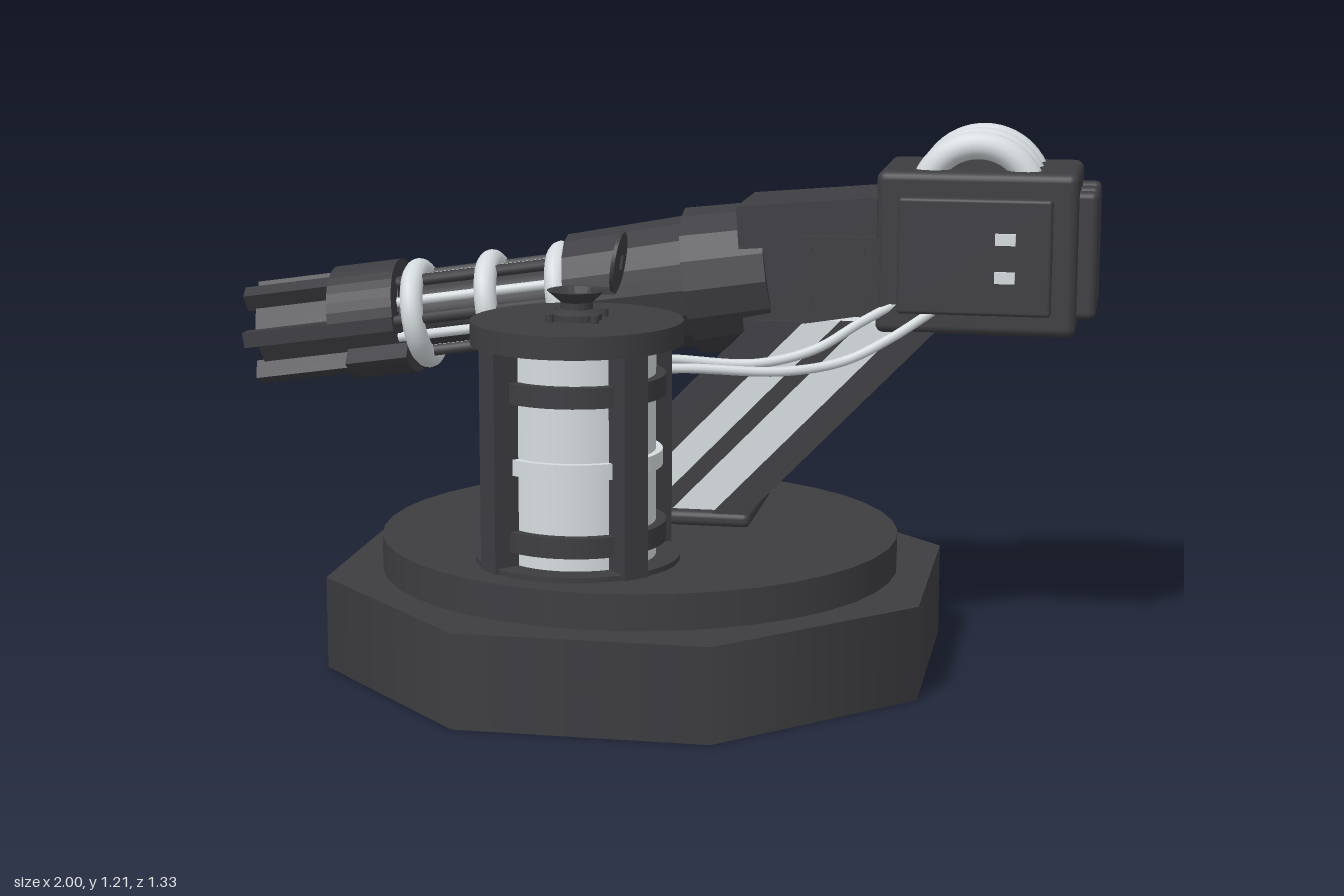
import * as THREE from 'three';
import { RoundedBoxGeometry } from 'three/addons/geometries/RoundedBoxGeometry.js';

const dark = new THREE.MeshStandardMaterial({ color: 0x3e3d41 });
dark.name = 'dark metal';
const light = new THREE.MeshStandardMaterial({ color: 0xd5dbde });
light.name = 'light metal';

function add(parent, name, geometry, material, x = 0, y = 0, z = 0) {
  const mesh = new THREE.Mesh(geometry, material);
  mesh.name = name;
  mesh.position.set(x, y, z);
  parent.add(mesh);
  return mesh;
}
function group(parent, name, x, y, z) {
  const g = new THREE.Group();
  g.name = name;
  g.position.set(x, y, z);
  parent.add(g);
  return g;
}
const box = (w, h, d) => new THREE.BoxGeometry(w, h, d);
const cyl = (r, h, n = 32) => new THREE.CylinderGeometry(r, r, h, n);
const flat = (g) => { const f = g.toNonIndexed(); f.computeVertexNormals(); return f; };

// cylinder lying along x, from x0 to x1
function cylX(x0, x1, r0, r1, n) {
  const g = new THREE.CylinderGeometry(r1, r0, x1 - x0, n);
  g.rotateZ(-Math.PI / 2).translate((x0 + x1) / 2, 0, 0);
  return g;
}
// thick curved plate around the x axis, angles measured from straight up
function arcX(x0, x1, rIn, rOut, mid, half) {
  const s = new THREE.Shape();
  const a = Math.PI / 2 + mid;
  s.absarc(0, 0, rOut, a - half, a + half, false);
  s.absarc(0, 0, rIn, a + half, a - half, true);
  const g = new THREE.ExtrudeGeometry(s, { depth: x1 - x0, bevelEnabled: false, curveSegments: 8 });
  return g.rotateY(Math.PI / 2).translate(x0, 0, 0);
}
// open pipe along x with a wall
function pipeX(x0, x1, rIn, rOut, n) {
  const pts = [[rIn, x0], [rOut, x0], [rOut, x1], [rIn, x1], [rIn, x0]].map((p) => new THREE.Vector2(...p));
  return flat(new THREE.LatheGeometry(pts, n).rotateZ(-Math.PI / 2));
}

function buildBase(root) {
  add(root, 'octagonalBase', cyl(0.722, 0.21, 8).rotateY(Math.PI / 8), dark, -0.02, 0.105, 0);
  add(root, 'turntable', cyl(0.59, 0.08, 40), dark, -0.02, 0.25, 0);
}

function buildTank(root) {
  const t = group(root, 'tank', -0.102, 0, 0.297);
  add(t, 'tankFoot', cyl(0.225, 0.012, 40), dark, 0, 0.296, 0);
  add(t, 'tankBody', cyl(0.172, 0.48, 40), light, 0, 0.54, 0);
  add(t, 'tankRidge', cyl(0.187, 0.035, 40), light, 0, 0.52, 0);
  for (const y of [0.357, 0.682]) add(t, 'tankBand', cyl(0.194, 0.045, 40), dark, 0, y, 0);
  for (let i = 0; i < 4; i++) {
    const a = Math.PI / 4 + i * Math.PI / 2;
    add(t, 'tankPillar', box(0.06, 0.49, 0.06), dark, 0.2 * Math.cos(a), 0.535, 0.2 * Math.sin(a)).rotation.y = a;
    add(t, 'capBolt', cyl(0.01, 0.02, 8), dark, 0.07 * Math.cos(a), 0.828, 0.07 * Math.sin(a));
  }
  add(t, 'tankCap', cyl(0.232, 0.05, 48), dark, 0, 0.796, 0);
  // filler neck with its open lid
  const neck = [[0.055, 0.82], [0.055, 0.835], [0.035, 0.845], [0.035, 0.86], [0.065, 0.885], [0.055, 0.885], [0.03, 0.86], [0, 0.86]];
  add(t, 'fillerNeck', flat(new THREE.LatheGeometry(neck.map((p) => new THREE.Vector2(...p)), 20)), dark);
  const lid = group(t, 'fillerLid', 0.092, 0.948, 0);
  lid.rotation.z = -0.14;
  add(lid, 'lidDisc', cyl(0.066, 0.008, 28).rotateZ(Math.PI / 2), dark);
  add(lid, 'lidHandle', box(0.008, 0.03, 0.006), dark, 0.006, 0, 0);
  add(t, 'lidHinge', box(0.05, 0.012, 0.03), dark, 0.06, 0.885, 0);
}

function buildColumn(root) {
  const c = group(root, 'slantedColumn', 0, 0, -0.195);
  add(c, 'columnFoot', new RoundedBoxGeometry(0.55, 0.035, 0.335, 2, 0.015), dark, -0.045, 0.308, 0);
  // box leaning towards +x; x0 and x1 are given at its lower end
  const y0 = 0.3, y1 = 0.775;
  const slab = (name, mat, x0, x1, z0, z1) => {
    const g = box(x1 - x0, y1 - y0, z1 - z0).translate((x0 + x1) / 2, (y1 - y0) / 2, (z0 + z1) / 2);
    const p = g.attributes.position;
    for (let i = 0; i < p.count; i++) p.setX(i, p.getX(i) + 0.965 * p.getY(i));
    g.computeVertexNormals();
    add(c, name, g, mat, 0, y0, 0);
  };
  slab('columnCore', light, -0.2, 0.185, -0.14, 0.14);
  for (const s of [-1, 1]) {
    const side = (name, x0, x1, a, b) => slab(name, dark, x0, x1, Math.min(a * s, b * s), Math.max(a * s, b * s));
    side('frontBeam', 0.12, 0.2, 0.105, 0.162);
    side('rearBeam', -0.22, -0.11, 0.105, 0.162);
    side('middleRib', -0.03, 0.02, 0.13, 0.155);
  }
  slab('frontSpine', dark, 0.17, 0.2, -0.068, 0.068);
  slab('rearSpine', dark, -0.22, -0.19, -0.068, 0.068);
}

function buildPowerBox(root) {
  const b = group(root, 'powerBox', 0, 0, -0.195);
  add(b, 'housing', new RoundedBoxGeometry(0.445, 0.365, 0.338, 3, 0.02), dark, 0.732, 0.938, 0);
  for (const z of [-0.105, 0, 0.105]) {
    add(b, 'ventRib', new RoundedBoxGeometry(0.08, 0.285, 0.05, 2, 0.015), dark, 0.957, 0.935, z);
    add(b, 'coolingPipe', new THREE.TorusGeometry(0.125, 0.031, 14, 28, Math.PI), light, 0.73, 1.05, z);
  }
  for (const s of [-1, 1]) {
    add(b, 'sidePlate', new RoundedBoxGeometry(0.34, 0.26, 0.04, 2, 0.008), dark, 0.73, 0.935, s * 0.173);
    for (const y of [0.892, 0.977]) add(b, 'slotLight', box(0.045, 0.026, 0.009), light, 0.798, y, s * 0.196);
    add(b, 'receiverPlate', box(0.19, 0.18, 0.03), dark, 0.427, 0.88, s * 0.15);
    for (const x of [0.36, 0.48]) for (const y of [0.82, 0.94])
      add(b, 'plateBolt', cyl(0.008, 0.01, 8).rotateX(Math.PI / 2), dark, x, y, s * 0.167);
  }
  add(b, 'lineLight', box(0.28, 0.012, 0.009), light, 0.73, 0.935, -0.196);
  // receiver joining the housing to the gun
  const s = new THREE.Shape([[0.19, 1.03], [0.54, 1.06], [0.54, 0.8], [0.36, 0.77], [0.21, 0.75]].map((p) => new THREE.Vector2(...p)));
  const g = new THREE.ExtrudeGeometry(s, { depth: 0.23, bevelSize: 0.0, bevelThickness: 0.03, bevelSegments: 1 });
  add(b, 'receiver', g.translate(0, 0, -0.115), dark);
}

function buildGun(root) {
  const gun = group(root, 'gun', -0.975, 0.684, -0.195);
  gun.rotation.z = Math.atan(0.146);
  add(gun, 'collar', flat(cylX(1.06, 1.25, 0.172, 0.165, 16)), dark);
  add(gun, 'barrelJacket', flat(cylX(0.775, 1.1, 0.144, 0.156, 16)), dark);
  add(gun, 'barrelCore', cylX(0.2, 0.8, 0.078, 0.078, 20), dark);
  add(gun, 'muzzleTube', pipeX(0.005, 0.36, 0.07, 0.095, 6), dark);
  // fins on the muzzle and rods on the barrel, evenly spread
  for (let i = 0; i < 6; i++) {
    const spoke = group(gun, 'spoke', 0, 0, 0);
    spoke.rotation.x = Math.PI / 2 + i * Math.PI / 3;
    add(spoke, 'muzzleFin', box(0.37, 0.045, 0.036), dark, 0.17, 0.102, 0);
    add(spoke, 'darkRod', cylX(0.35, 0.8, 0.014, 0.014, 8), dark, 0, 0.098, 0);
    const mid = group(gun, 'lightSpoke', 0, 0, 0);
    mid.rotation.x = spoke.rotation.x + Math.PI / 6;
    add(mid, 'lightRod', cylX(0.35, 0.8, 0.012, 0.012, 8), light, 0, 0.082, 0);
  }
  // rings around the barrel
  for (const x of [0.4, 0.58, 0.75]) {
    add(gun, 'barrelRing', new THREE.TorusGeometry(0.104, 0.027, 12, 32).rotateY(Math.PI / 2), light, x, 0, 0);
  }
  add(gun, 'upperShroud', arcX(0.2, 0.36, 0.09, 0.135, 0, 1.45), dark);
  add(gun, 'lowerShroud', arcX(0.22, 0.37, 0.09, 0.138, Math.PI, 0.9), dark);
}

function buildHoses(root) {
  const paths = [
    [[0.04, 0.69, 0.15], [0.12, 0.69, 0.13], [0.32, 0.68, 0.075], [0.45, 0.7, 0.03], [0.55, 0.75, 0], [0.64, 0.81, -0.02]],
    [[-0.01, 0.7, 0.12], [0.06, 0.7, 0.08], [0.25, 0.69, 0.045], [0.38, 0.72, 0.01], [0.48, 0.78, -0.02], [0.57, 0.83, -0.04]],
  ];
  for (const p of paths) {
    const curve = new THREE.CatmullRomCurve3(p.map((q) => new THREE.Vector3(...q)));
    add(root, 'hose', new THREE.TubeGeometry(curve, 40, 0.011, 8), light);
  }
}

export function createModel() {
  const root = new THREE.Group();
  root.name = 'turret';
  buildBase(root);
  buildTank(root);
  buildColumn(root);
  buildPowerBox(root);
  buildGun(root);
  buildHoses(root);
  return root;
}
